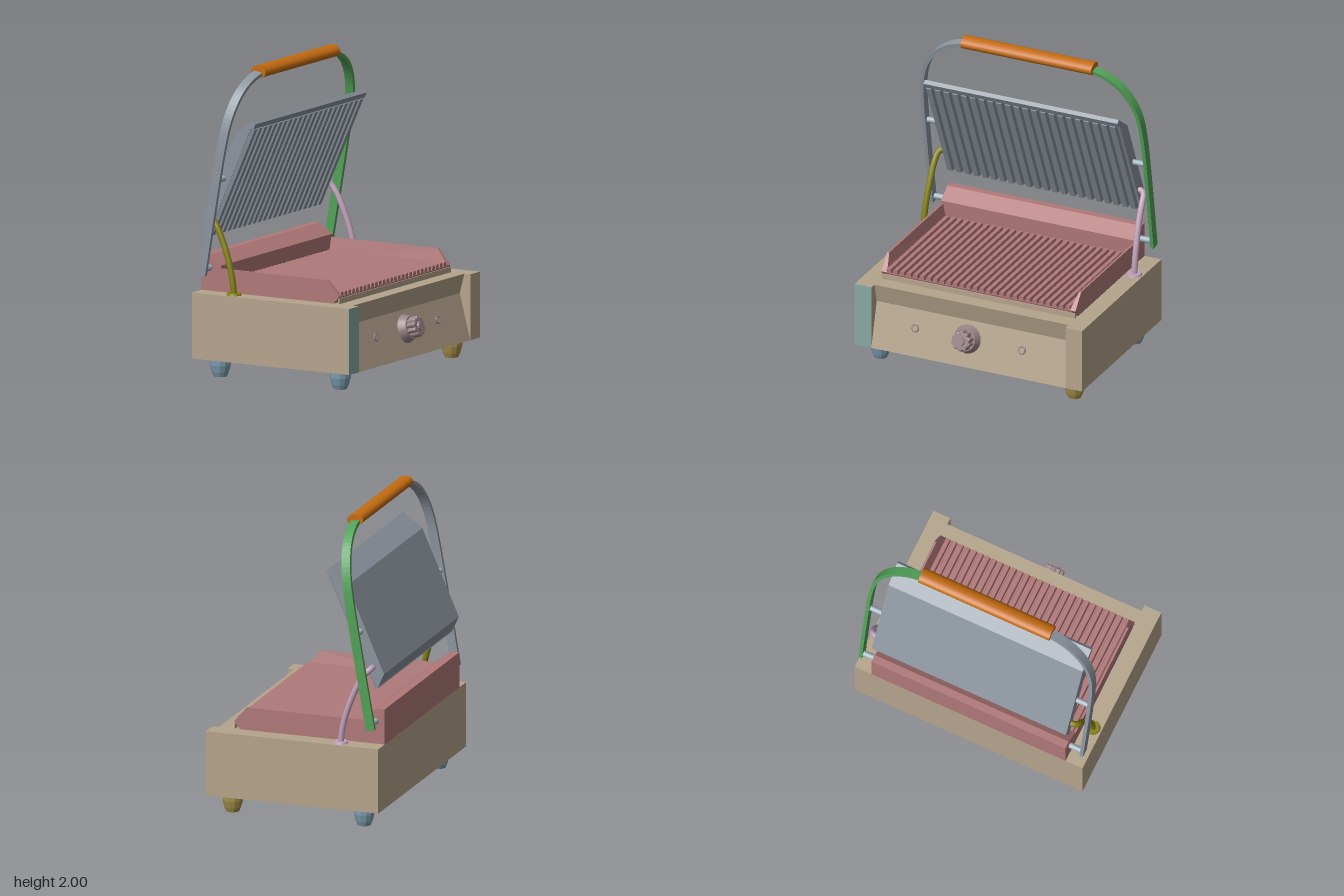
import * as THREE from 'three';

const mat = (color) => new THREE.MeshStandardMaterial({ color });
const TAN = mat(0xb5a48c), TEAL = mat(0x86aaa2), RED = mat(0xb07878), STEEL = mat(0x8b949e),
  GREEN = mat(0x52a058), ORANGE = mat(0xc46c10), OLIVE = mat(0x84800f), PINK = mat(0xbfa0b8),
  BLUE = mat(0x7f9fb2), YELLOW = mat(0xa8934a), MAUVE = mat(0x9a8488), LIGHT = mat(0xa3b4c0);

export function createModel() {
  const root = new THREE.Group();

  const add = (name, geo, material, x = 0, y = 0, z = 0, parent = root) => {
    const m = new THREE.Mesh(geo, material);
    m.name = name;
    m.position.set(x, y, z);
    parent.add(m);
    return m;
  };
  const shapeOf = (pts) => new THREE.Shape(pts.map(([x, y]) => new THREE.Vector2(x, y)));
  // side profile (x, y) extruded between two z values
  const prism = (pts, z0, z1) => new THREE.ExtrudeGeometry(shapeOf(pts),
    { depth: z1 - z0, bevelEnabled: false }).translate(0, 0, z0);
  const box = (x0, x1, y0, y1, z0, z1) => new THREE.BoxGeometry(x1 - x0, y1 - y0, z1 - z0)
    .translate((x0 + x1) / 2, (y0 + y1) / 2, (z0 + z1) / 2);
  // rod along z
  const rod = (r, len, seg = 14) => new THREE.CylinderGeometry(r, r, len, seg).rotateX(Math.PI / 2);
  // comb of ribs across z, height along y, running towards -x
  const ribs = (n, width, height, length) => {
    const p = width / n, pts = [[-width / 2, -0.01]];
    for (let i = 0; i < n; i++) {
      const s = -width / 2 + i * p;
      pts.push([s, 0], [s + p * 0.2, 0], [s + p * 0.32, height], [s + p * 0.88, height], [s + p, 0]);
    }
    pts.push([width / 2, -0.01]);
    return new THREE.ExtrudeGeometry(shapeOf(pts), { depth: length, bevelEnabled: false })
      .rotateY(-Math.PI / 2);
  };

  // housing: side blocks and the middle with its recessed sloping panel
  add('housingMiddle', prism([[-0.63, 0.12], [0.55, 0.12], [0.47, 0.42], [0.505, 0.55], [-0.63, 0.55]],
    -0.69, 0.69), TAN);
  add('housingSide', box(-0.63, 0.545, 0.12, 0.55, 0.69, 0.81), TAN);
  add('housingSide', box(-0.63, 0.55, 0.12, 0.55, -0.81, -0.69), TAN);
  add('cornerTrim', box(0.545, 0.55, 0.12, 0.55, 0.69, 0.81), TEAL);
  add('trayLip', box(0.395, 0.403, 0.55, 0.585, -0.69, 0.69), TAN);

  // feet
  const foot = new THREE.LatheGeometry([[0, 0], [0.043, 0], [0.056, 0.03], [0.068, 0.075], [0.071, 0.125], [0, 0.125]]
    .map(([r, y]) => new THREE.Vector2(r, y)), 12).toNonIndexed();
  foot.computeVertexNormals();
  for (const x of [-0.49, 0.41]) for (const z of [-0.69, 0.69])
    add('foot', foot, x > 0 && z < 0 ? YELLOW : BLUE, x, 0, z);

  // lower griddle: floor, ribs, rear wall and side rims
  add('lowerPlate', prism([[-0.63, 0.55], [0.36, 0.55], [0.4, 0.595], [-0.63, 0.595]], -0.69, 0.69), RED);
  add('lowerRibs', ribs(28, 1.32, 0.03, 0.88), RED, 0.395, 0.593, 0);
  add('rearWall', prism([[-0.63, 0.59], [-0.49, 0.59], [-0.485, 0.72], [-0.58, 0.785], [-0.63, 0.785]],
    -0.69, 0.69), RED);
  const rim = [[-0.5, 0.57], [0.38, 0.57], [0.4, 0.6], [0.315, 0.7], [-0.5, 0.7]];
  for (const s of [-1, 1]) {
    const geo = prism(rim, -0.69, -0.65), pos = geo.attributes.position;
    // slope the inner face towards the outer edge
    for (let i = 0; i < pos.count; i++)
      if (pos.getY(i) > 0.65 && pos.getZ(i) > -0.67) pos.setZ(i, -0.675);
    geo.computeVertexNormals();
    add('sideRim', geo, RED).scale.z = -s;
  }

  // upper griddle: faceted cover with ribs on the cooking face
  add('upperPlate', prism([[-0.625, 1.02], [-0.578, 0.918], [-0.258, 1.64], [-0.245, 1.63],
    [-0.225, 1.665], [-0.245, 1.685], [-0.375, 1.59]], -0.69, 0.69), STEEL);
  add('upperRibs', ribs(22, 1.37, 0.022, 0.785), STEEL, -0.576, 0.918, 0)
    .rotation.z = -Math.PI / 2 - 0.417;

  // lifting arms: flat bars bent inwards at the top, leaning forward
  const lean = new THREE.Group();
  lean.name = 'liftingFrame';
  lean.position.set(-0.57, 0.665, 0);
  lean.rotation.z = -0.172;
  root.add(lean);
  const path = new THREE.SplineCurve([[0.785, 0], [0.787, 0.45], [0.782, 0.85], [0.75, 1.05], [0.67, 1.19],
    [0.565, 1.27], [0.46, 1.305], [0.42, 1.312]].map(([x, y]) => new THREE.Vector2(x, y)));
  const outer = [], inner = [];
  for (let i = 0; i <= 40; i++) {
    const p = path.getPoint(i / 40), t = path.getTangent(i / 40);
    outer.push([p.x + t.y * 0.012, p.y - t.x * 0.012]);
    inner.unshift([p.x - t.y * 0.012, p.y + t.x * 0.012]);
  }
  const arm = new THREE.ExtrudeGeometry(shapeOf([...outer, ...inner]), { depth: 0.06, bevelEnabled: false })
    .translate(0, 0, -0.03).rotateY(-Math.PI / 2);
  add('leftArm', arm, STEEL, 0, 0, 0, lean);
  add('rightArm', arm, GREEN, 0, 0, 0, lean).scale.z = -1;
  add('handleGrip', rod(0.038, 0.93, 20).scale(1.45, 1, 1), ORANGE, 0, 1.317, -0.005, lean);

  // pivots, cable conduits and collars on both sides
  for (const s of [-1, 1]) {
    add('plateHinge', rod(0.019, 0.12), LIGHT, -0.465, 1.29, s * 0.73);
    add('armPivot', rod(0.02, 0.12), LIGHT, -0.57, 0.7, s * 0.73);
    const curve = new THREE.CatmullRomCurve3([[-0.35, 0.54, 0.75], [-0.36, 0.63, 0.75], [-0.385, 0.74, 0.748],
      [-0.435, 0.88, 0.742], [-0.49, 0.99, 0.738], [-0.53, 1.04, 0.73], [-0.545, 1.055, 0.71], [-0.547, 1.057, 0.67]]
      .map(([x, y, z]) => new THREE.Vector3(x, y, z * s)));
    add('conduit', new THREE.TubeGeometry(curve, 40, 0.02, 12), s > 0 ? OLIVE : PINK);
    add('conduitCollar', new THREE.CylinderGeometry(0.045, 0.05, 0.014, 20), s > 0 ? OLIVE : PINK,
      -0.35, 0.556, s * 0.75);
  }

  // control panel fittings, square to the sloping panel
  const panel = new THREE.Group();
  panel.name = 'controls';
  panel.position.set(0.502, 0.3, 0);
  panel.rotation.z = 0.26 - Math.PI / 2;
  root.add(panel);
  add('knobBase', new THREE.CylinderGeometry(0.075, 0.095, 0.05, 20), MAUVE, 0, 0.025, 0.03, panel);
  const flute = new THREE.Shape();
  for (let i = 0; i <= 80; i++) {
    const a = i / 80 * Math.PI * 2, r = 0.056 + 0.006 * Math.cos(a * 10);
    flute[i ? 'lineTo' : 'moveTo'](r * Math.cos(a), r * Math.sin(a));
  }
  add('knobGrip', new THREE.ExtrudeGeometry(flute, { depth: 0.06, bevelSize: 0.006, bevelThickness: 0.008,
    bevelSegments: 2 }).rotateX(-Math.PI / 2), MAUVE, 0, 0.042, 0.03, panel);
  add('knobCap', new THREE.CylinderGeometry(0.028, 0.032, 0.012, 16), MAUVE, 0, 0.114, 0.03, panel);
  for (const z of [0.4, -0.36]) {
    add('lampRing', new THREE.TorusGeometry(0.022, 0.006, 8, 20).rotateX(Math.PI / 2), MAUVE, 0, 0.003, z, panel);
    add('lamp', new THREE.CylinderGeometry(0.018, 0.018, 0.01, 16), TAN, 0, 0.003, z, panel);
  }
  return root;
}
